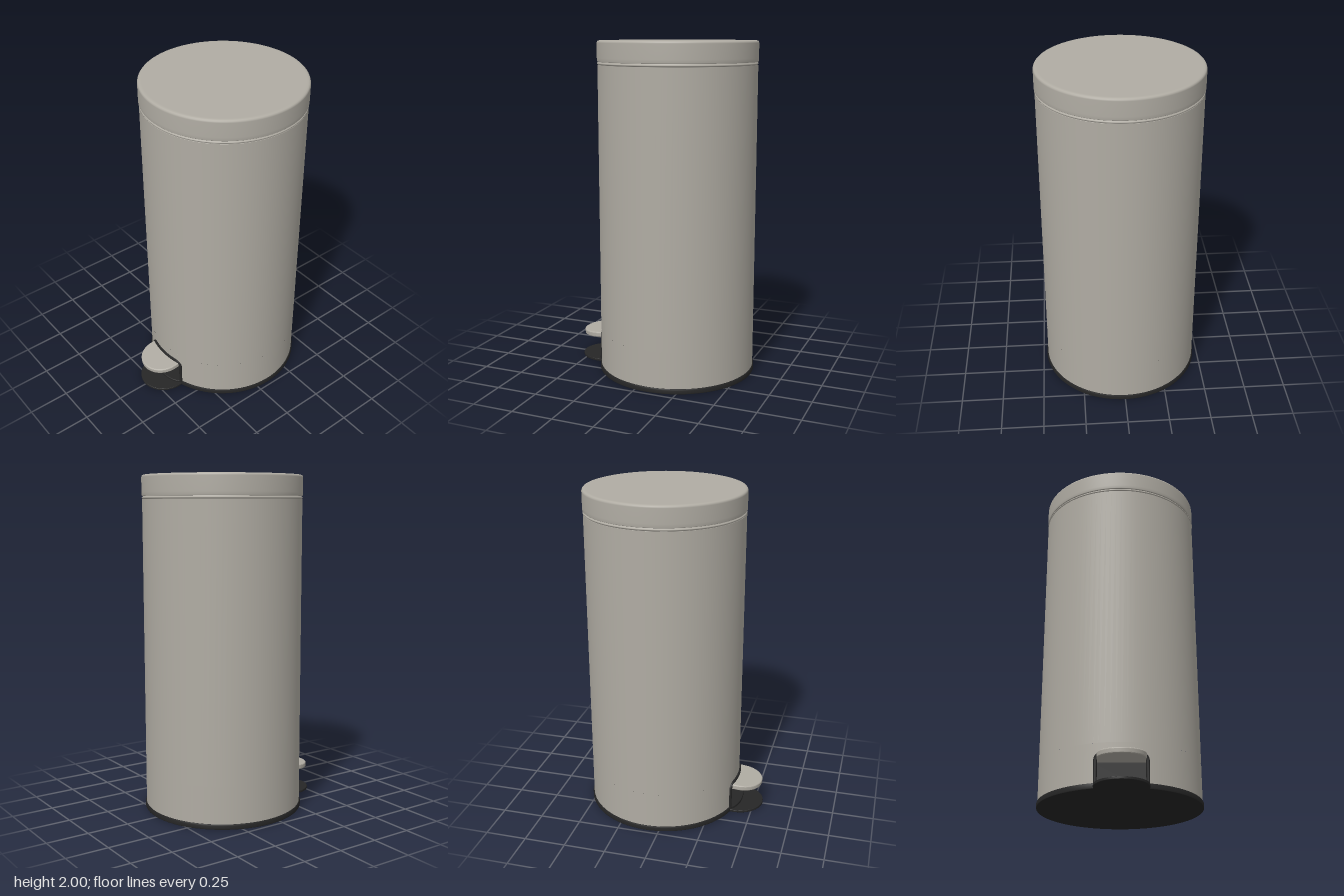
import * as THREE from 'three';

const CZ = -0.08;   // centre of the round body along z
const R = 0.471;    // body radius
const HALF = 0.14;  // half width of the pedal opening
const TOP = 0.19;   // top of the pedal opening
const CORNER = 0.035;

const steel = new THREE.MeshStandardMaterial({ color: 0xb0aca3 });
steel.name = 'brushed steel';
const plastic = new THREE.MeshStandardMaterial({ color: 0x262626, side: THREE.DoubleSide });
plastic.name = 'black plastic';

// z of the round wall at a given x
const wallZ = (x, r = R) => CZ + Math.sqrt(r * r - x * x);

function add(group, name, geometry, material, x = 0, y = 0, z = 0) {
  const mesh = new THREE.Mesh(geometry, material);
  mesh.name = name;
  mesh.position.set(x, y, z);
  group.add(mesh);
  return mesh;
}

// Lathe from [radius, height] pairs; doubled points keep hard edges
const lathe = (pts) => new THREE.LatheGeometry(pts.map(([x, y]) => new THREE.Vector2(x, y)), 96);

// Tongue outline: straight sides from back to mid, then a round nose
function tongueShape(half, back, mid, nose) {
  const s = new THREE.Shape();
  s.moveTo(-half, back);
  s.lineTo(half, back);
  s.lineTo(half, mid);
  s.absellipse(0, mid, half, nose - mid, 0, Math.PI, false);
  s.closePath();
  return s;
}

function flatExtrude(shape, depth, bevel) {
  const g = new THREE.ExtrudeGeometry(shape, {
    depth: depth - 2 * bevel, curveSegments: 40, bevelEnabled: bevel > 0,
    bevelThickness: bevel, bevelSize: bevel, bevelOffset: -bevel, bevelSegments: 4,
  });
  return g.rotateX(Math.PI / 2);
}

// Opening outline, from lower left over the top to lower right
function openingShape() {
  const s = new THREE.Shape();
  s.moveTo(-HALF, 0.02);
  s.lineTo(-HALF, TOP - CORNER);
  s.absarc(-HALF + CORNER, TOP - CORNER, CORNER, Math.PI, Math.PI / 2, true);
  s.lineTo(HALF - CORNER, TOP);
  s.absarc(HALF - CORNER, TOP - CORNER, CORNER, Math.PI / 2, 0, true);
  s.lineTo(HALF, 0.02);
  return s;
}

// Body wall with a rounded opening at the lower front
function addBody(group) {
  const y0 = 0.02, y1 = 0.25, y2 = 1.86;
  const a = Math.asin(HALF / R);
  add(group, 'bodyWall', new THREE.CylinderGeometry(R, R, y2 - y1, 96, 1, true), steel, 0, (y1 + y2) / 2, CZ);
  add(group, 'lowerWall',
    new THREE.CylinderGeometry(R, R, y1 - y0, 88, 1, true, a, 2 * Math.PI - 2 * a), steel, 0, (y0 + y1) / 2, CZ);

  const strip = new THREE.CylinderGeometry(R, R, y1 - y0, 48, 1, true, -a, 2 * a);
  strip.translate(0, (y0 + y1) / 2, CZ);
  const p = strip.attributes.position;
  for (let i = 0; i < p.count; i++) {
    if (p.getY(i) > 0.1) continue;
    const d = Math.min(CORNER, Math.max(0, Math.abs(p.getX(i)) - (HALF - CORNER)));
    p.setY(i, TOP - CORNER + Math.sqrt(CORNER * CORNER - d * d));
  }
  add(group, 'wallAboveOpening', strip, steel);
}

// Recess behind the opening, with a raised frame following the wall
function addRecess(group) {
  const back = 0.3;
  const outline = openingShape().getSpacedPoints(60);
  const pos = [], index = [];
  outline.forEach((q, i) => {
    pos.push(q.x, q.y, wallZ(q.x), q.x, q.y, back);
    if (i) index.push(2 * i - 2, 2 * i - 1, 2 * i, 2 * i, 2 * i - 1, 2 * i + 1);
  });
  const tunnel = new THREE.BufferGeometry();
  tunnel.setAttribute('position', new THREE.Float32BufferAttribute(pos, 3));
  tunnel.setIndex(index);
  tunnel.computeVertexNormals();
  add(group, 'recessWalls', tunnel, plastic);
  add(group, 'recessBack', new THREE.ShapeGeometry(openingShape(), 12), plastic, 0, 0, back);

  const path = new THREE.CatmullRomCurve3(outline.map((q) => new THREE.Vector3(q.x, q.y, wallZ(q.x, R + 0.002))));
  add(group, 'recessFrame', new THREE.TubeGeometry(path, 120, 0.01, 8), plastic);
}

// Foot pedal, tilted down towards the front, with fine grip arcs
function addPedal(group) {
  const pedal = new THREE.Group();
  pedal.name = 'pedal';
  pedal.position.set(0, 0.178, 0.39);
  pedal.rotation.x = 0.085;
  add(pedal, 'pedalPlate', flatExtrude(tongueShape(0.133, -0.08, 0.02, 0.158), 0.033, 0.008), steel);
  for (let i = 0; i < 4; i++) {
    const arc = new THREE.TorusGeometry(0.028 + i * 0.009, 0.0015, 6, 24, Math.PI * 0.8);
    arc.rotateZ(Math.PI * 0.1).rotateX(Math.PI / 2);
    add(pedal, 'gripArc', arc, steel, 0, 0, 0.075);
  }
  group.add(pedal);
}

export function createModel() {
  const group = new THREE.Group();
  group.name = 'pedalBin';

  // Base ring and floor
  add(group, 'base', lathe([
    [0, 0], [0.476, 0], [0.476, 0], [0.478, 0.004], [0.478, 0.022], [0.474, 0.03], [0.474, 0.03], [0, 0.03],
  ]), plastic, 0, 0, CZ);

  // Foot plate under the pedal, with a low step at its root
  add(group, 'footPlate', flatExtrude(tongueShape(0.15, 0.25, 0.4, 0.555), 0.015, 0.003), plastic, 0, 0.012, 0);
  add(group, 'footStep', flatExtrude(tongueShape(0.145, 0.25, 0.36, 0.425), 0.03, 0.004), plastic, 0, 0.026, 0);

  addBody(group);
  addRecess(group);
  addPedal(group);

  // Rolled rim between body and lid
  add(group, 'rim', lathe([
    [R, 1.855], [0.467, 1.859], [0.467, 1.861], [0.472, 1.864], [0.473, 1.868],
    [0.472, 1.872], [0.466, 1.874], [0.466, 1.885],
  ]), steel, 0, 0, CZ);

  // Lid with a softly rounded edge
  add(group, 'lid', lathe([
    [0.46, 1.878], [0.471, 1.878], [0.471, 1.878], [0.474, 1.881], [0.474, 1.9], [0.474, 1.985],
    [0.472, 1.992], [0.468, 1.997], [0.46, 1.9995], [0.45, 2], [0.3, 2], [0, 2],
  ]), steel, 0, 0, CZ);

  return group;
}
